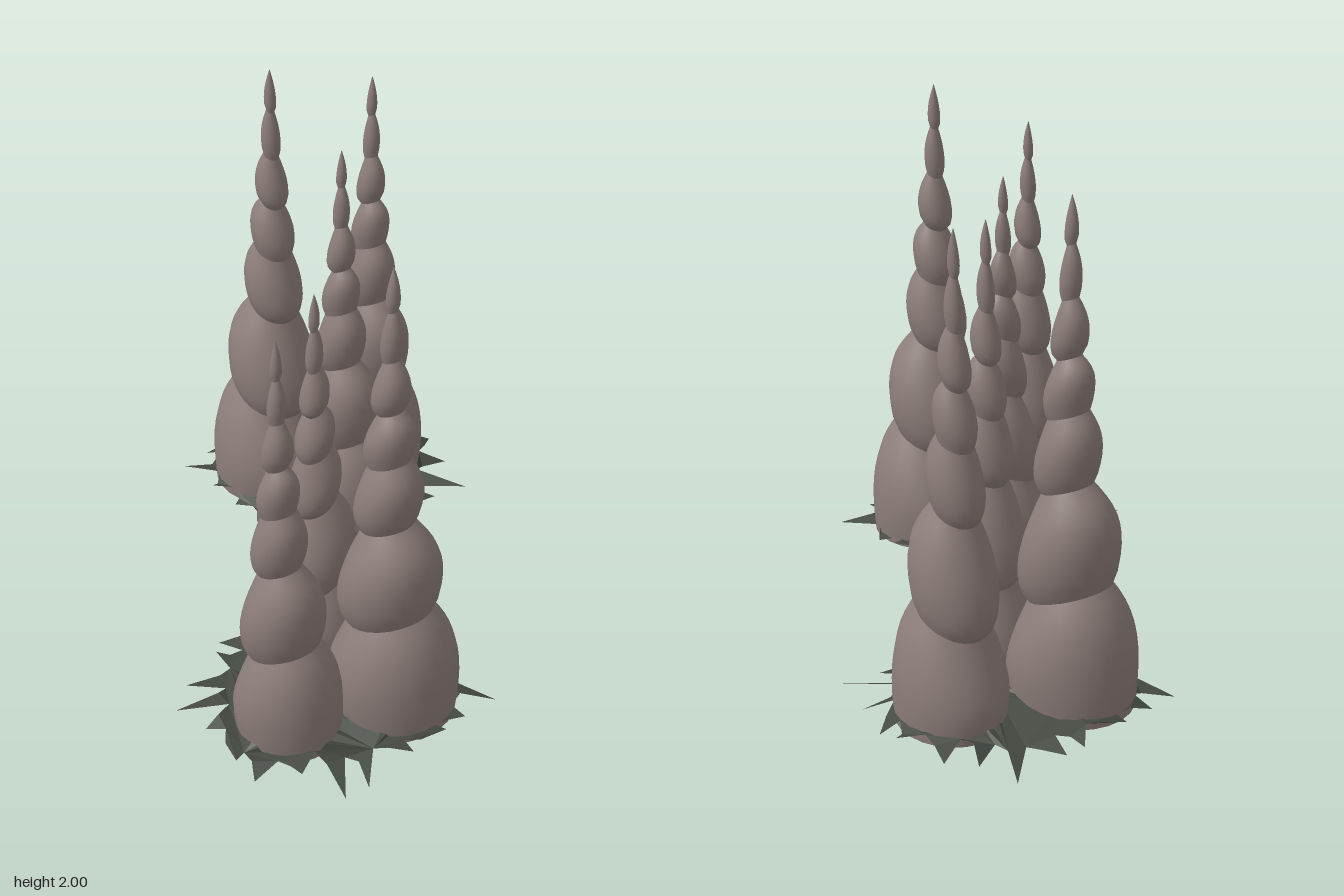
import * as THREE from 'three';
import { mergeVertices, mergeGeometries } from 'three/addons/utils/BufferGeometryUtils.js';

const SIDES = 24;
const SPIKES = 22;

// Heights and radii of the waists
const waists = [[0, 0.25], [0.46, 0.165], [0.89, 0.1], [1.18, 0.08], [1.4, 0.047], [1.62, 0.032], [1.82, 0.017], [2, 0.001]];
// Widest radius of the bulb above each waist, and how low it sits (smaller is lower)
const bulges = [[0.262, 0.6], [0.2, 0.65], [0.13, 0.75], [0.097, 0.75], [0.072, 0.65], [0.042, 0.65], [0.026, 0.5]];

// Each clump fills one quadrant; each tower is x, z, height, width, depth, yaw
const clumps = [
  {
    name: 'backRightClump',
    sign: -1,
    towers: [
      [-0.69, -0.32, 2.0, 0.98, 0.93, Math.PI],
      [-0.49, -0.69, 1.92, 0.88, 0.79, 0],
      [-0.27, -0.32, 1.81, 0.84, 0.78, 0],
    ],
  },
  {
    name: 'frontLeftClump',
    sign: 1,
    towers: [
      [0.29, 0.33, 1.7, 0.82, 0.75, Math.PI / 2],
      [0.69, 0.33, 2.0, 0.99, 0.99, 0],
      [0.53, 0.72, 1.8, 0.82, 0.8, 0],
    ],
  },
];

// One swollen segment between two waists, tilted down towards -x, most of all at its middle
function bulbGeometry(i) {
  const [y0, r0] = waists[i], [y1, r1] = waists[i + 1];
  const [widest, power] = bulges[i];
  const steps = i < 3 ? 10 : 7;
  const profile = [];
  for (let s = 0; s <= steps; s++) {
    const t = s / steps;
    const waist = r0 + (r1 - r0) * t;
    const r = waist + (widest - waist) * Math.sin(Math.PI * Math.pow(t, power));
    profile.push(new THREE.Vector2(r, y0 + (y1 - y0) * t));
  }
  let geo = new THREE.LatheGeometry(profile, SIDES);
  const p = geo.attributes.position;
  for (let v = 0; v < p.count; v++) {
    const x = p.getX(v), y = p.getY(v);
    const lean = 0.37 + 0.16 * Math.sin((Math.PI * (y - y0)) / (y1 - y0));
    const shift = Math.max(0, 1 - y / 0.9);
    p.setXYZ(v, x + 0.015 * shift, y + lean * x * Math.min(1, y / 0.45), p.getZ(v) - 0.035 * shift);
  }
  geo.deleteAttribute('uv');
  geo.deleteAttribute('normal');
  geo = mergeVertices(geo, 1e-5);
  geo.computeVertexNormals();
  return geo;
}

// Distance from the clump centre to the far side of its towers along an angle
function reach(towers, cx, cz, angle) {
  const dx = Math.cos(angle), dz = Math.sin(angle);
  let far = 0.4;
  for (const [x, z, , w] of towers) {
    const along = (x - cx) * dx + (z - cz) * dz;
    const across = (x - cx) * dz - (z - cz) * dx;
    const half = (0.27 * w) ** 2 - across ** 2;
    if (half > 0) far = Math.max(far, along + Math.sqrt(half));
  }
  return far;
}

// Ragged ground cover with bent spikes, sloping down from the towers
function coverGeometry({ towers, sign }) {
  const cx = 0.49 * sign, cz = 0.45 * sign;
  const outline = [];
  const addPoint = (angle, extra, margin) => {
    const r = reach(towers, cx, cz, angle) + extra;
    const keep = (c) => sign * THREE.MathUtils.clamp(c * sign, margin, 1 - margin);
    outline.push(new THREE.Vector2(keep(cx + r * Math.cos(angle)), -keep(cz + r * Math.sin(angle))));
  };
  const step = (Math.PI * 2) / SPIKES;
  for (let i = 0; i < SPIKES; i++) {
    const angle = -i * step;
    const wobble = Math.sin(i * 2.4 + sign);
    addPoint(angle, 0, 0.05);
    addPoint(angle - step * 0.4, 0.03, 0.04);
    addPoint(angle - step * (0.7 + 0.25 * wobble), 0.15 + 0.07 * Math.sin(i * 4.1), 0.01);
  }
  const shape = new THREE.Shape(outline);
  for (const [x, z, , w, d] of towers) {
    const hole = new THREE.Path();
    hole.absellipse(x, -z, 0.18 * w, 0.18 * d, 0, Math.PI * 2, true);
    shape.holes.push(hole);
  }
  const geo = new THREE.ShapeGeometry(shape, 9);
  geo.rotateX(-Math.PI / 2);
  const p = geo.attributes.position;
  for (let v = 0; v < p.count; v++) {
    const x = p.getX(v), z = p.getZ(v);
    const gap = Math.min(...towers.map(([tx, tz, , w]) => Math.hypot(x - tx, z - tz) - 0.26 * w));
    p.setY(v, THREE.MathUtils.clamp(0.045 - 0.35 * gap + 0.012 * Math.sin(x * 31 + z * 47), 0.004, 0.08));
  }
  geo.computeVertexNormals();
  return geo;
}

export function createModel() {
  const model = new THREE.Group();
  model.name = 'bulbousSpires';
  const stone = new THREE.MeshStandardMaterial({ color: 0x8c7d79 });
  const moss = new THREE.MeshStandardMaterial({ color: 0x434840, flatShading: true, side: THREE.DoubleSide });
  const spireGeo = mergeGeometries(bulges.map((_, i) => bulbGeometry(i)));
  const baseGeo = new THREE.CircleGeometry(waists[0][1], SIDES);
  baseGeo.rotateX(Math.PI / 2).translate(0.015, 0, -0.035);

  for (const clump of clumps) {
    const group = new THREE.Group();
    group.name = clump.name;
    clump.towers.forEach(([x, z, height, w, d, yaw], i) => {
      const tower = new THREE.Group();
      tower.name = `tower${i + 1}`;
      const spire = new THREE.Mesh(spireGeo, stone);
      spire.name = 'spire';
      const base = new THREE.Mesh(baseGeo, moss);
      base.name = 'base';
      tower.add(spire, base);
      tower.position.set(x, 0, z);
      tower.rotation.y = yaw;
      tower.scale.set(w, height / 2, d);
      group.add(tower);
    });
    const cover = new THREE.Mesh(coverGeometry(clump), moss);
    cover.name = 'groundCover';
    group.add(cover);
    model.add(group);
  }
  return model;
}
